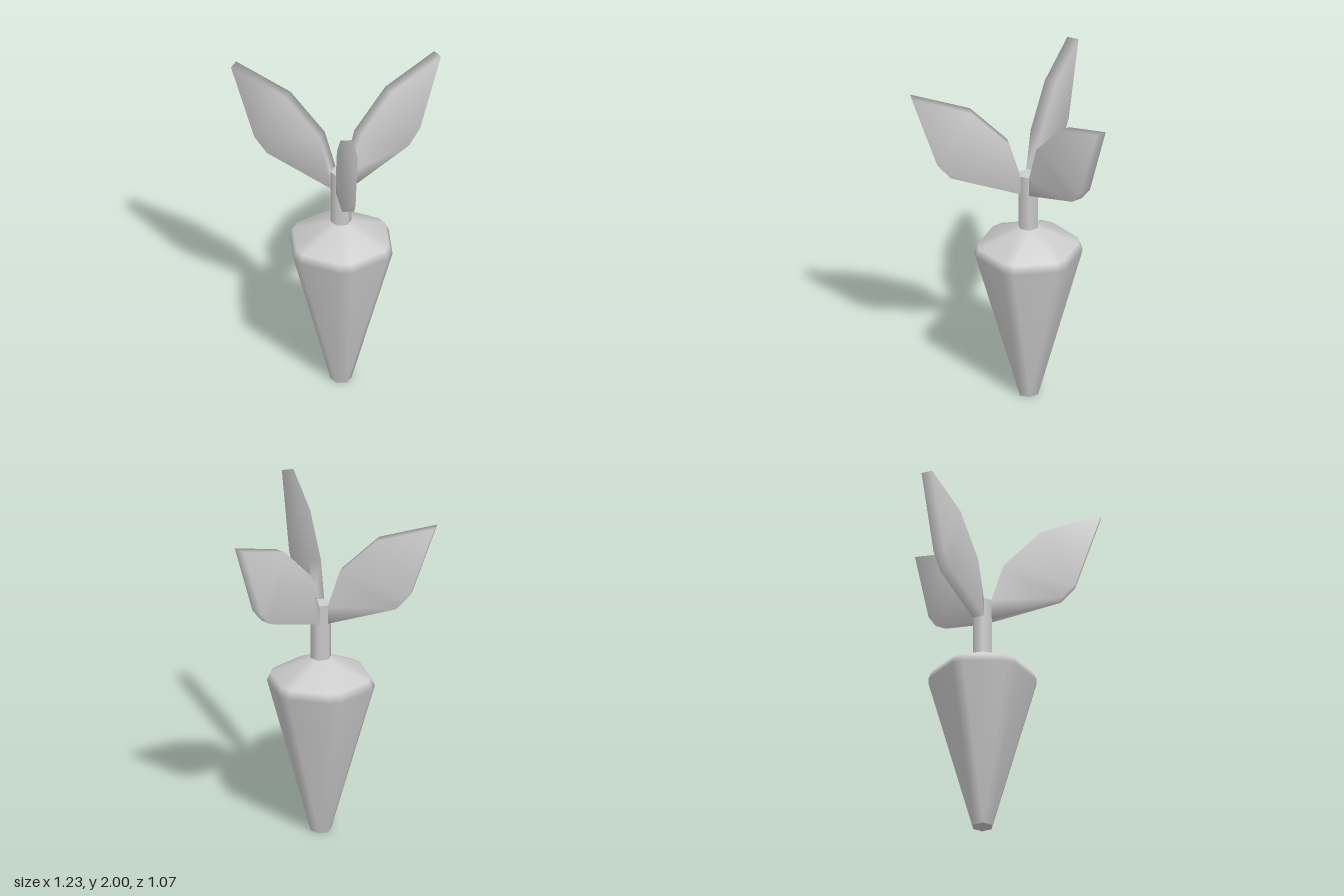
import * as THREE from 'three';
import { mergeVertices } from 'three/addons/utils/BufferGeometryUtils.js';

const AXIS_Z = 0.158; // the plant's axis sits forward of the centre
const STEM_R = 0.062;
const material = new THREE.MeshStandardMaterial({ color: 0xcccccc });

// Smooth skin through a list of closed cross-sections with equal point counts
function loft(rings) {
  const n = rings[0].length;
  const index = [];
  for (let i = 0; i < rings.length - 1; i++) {
    for (let j = 0; j < n; j++) {
      const a = i * n + j, b = i * n + (j + 1) % n;
      index.push(a, a + n, b, b, a + n, b + n);
    }
  }
  let geo = new THREE.BufferGeometry();
  geo.setAttribute('position', new THREE.Float32BufferAttribute(rings.flat(2), 3));
  geo.setIndex(index);
  geo = mergeVertices(geo);
  geo.computeVertexNormals();
  return geo;
}

// Hexagon with cut corners; a half-angle of 30 degrees gives a plain hexagon
function cutHexagon(y, radius, halfAngle) {
  const points = [];
  for (let k = 0; k < 6; k++) {
    for (const side of [-1, 1]) {
      const a = THREE.MathUtils.degToRad(30 + 60 * k + side * halfAngle);
      points.push([radius * Math.cos(a), y, radius * Math.sin(a)]);
    }
  }
  return points;
}

function addMesh(parent, name, geometry) {
  const mesh = new THREE.Mesh(geometry, material);
  mesh.name = name;
  parent.add(mesh);
  return mesh;
}

// Thick leaf blade growing along +x: [distance, height] of upper and lower edges
function leafGeometry() {
  const t = 0.035;
  const sections = [
    [[0.05, 1.44], [0.05, 1.33]],
    [[0.12, 1.665], [0.46, 1.465]],
    [[0.34, 1.885], [0.54, 1.555]],
    [[0.69, 2.0], [0.69, 2.0]],
  ];
  return loft(sections.map(([up, low]) => [[...up, t], [...up, -t], [...low, -t], [...low, t]]));
}

export function createModel() {
  const model = new THREE.Group();
  model.name = 'rootVegetable';
  const plant = new THREE.Group();
  plant.name = 'plant';
  plant.position.z = AXIS_Z;
  model.add(plant);

  // Tapering root with a bevelled shoulder
  addMesh(plant, 'root', loft([
    cutHexagon(0, STEM_R, 30),
    cutHexagon(0.935, 0.317, 6.3),
    cutHexagon(0.985, 0.296, 6.3),
    cutHexagon(1.1, STEM_R, 30),
  ]));
  addMesh(plant, 'rootTip', new THREE.CircleGeometry(STEM_R, 6).rotateX(Math.PI / 2));

  // Six-sided stem
  const stem = addMesh(plant, 'stem',
    new THREE.CylinderGeometry(STEM_R, STEM_R, 0.345, 6, 1, false, Math.PI / 6));
  stem.position.y = 1.2725;

  // Three leaves on alternate stem faces
  const leaf = leafGeometry();
  [['backLeaf', 90], ['leftLeaf', -30], ['rightLeaf', 210]].forEach(([name, angle]) => {
    addMesh(plant, name, leaf).rotation.y = THREE.MathUtils.degToRad(angle);
  });

  return model;
}
